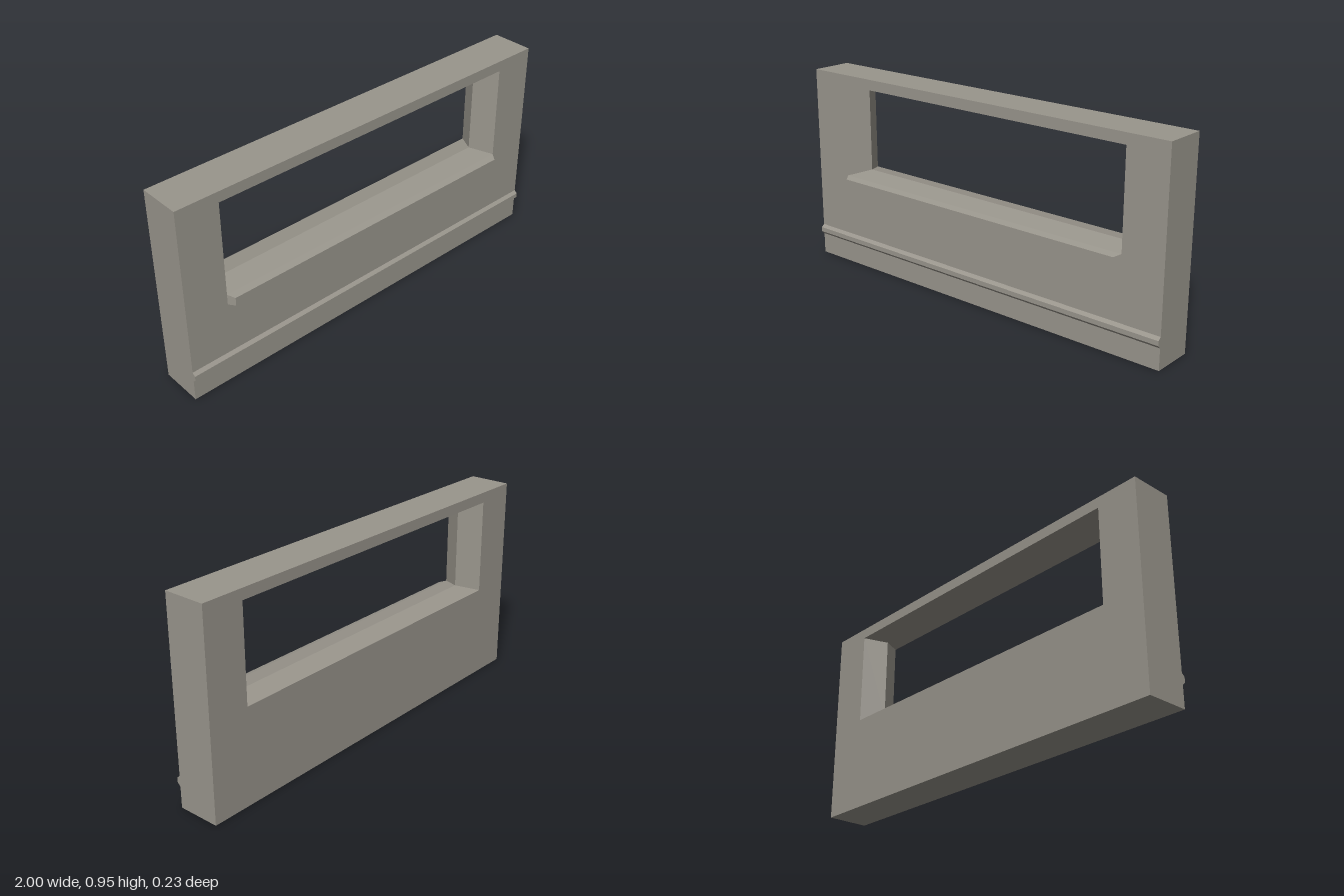
import * as THREE from 'three';

const BACK = -0.115, FRONT = 0.085, MIDDLE = -0.015;

// Rectangular ring, counter-clockwise seen from the front
const ring = (halfWidth, y0, y1, z) => [
  [-halfWidth, y0, z], [halfWidth, y0, z], [halfWidth, y1, z], [-halfWidth, y1, z],
];

// Skin a closed series of rings with flat faces
function skinClosed(rings) {
  const pos = [];
  rings.forEach((r, k) => {
    const next = rings[(k + 1) % rings.length];
    for (let i = 0; i < 4; i++) {
      const j = (i + 1) % 4;
      pos.push(...r[i], ...r[j], ...next[j], ...r[i], ...next[j], ...next[i]);
    }
  });
  const geo = new THREE.BufferGeometry();
  geo.setAttribute('position', new THREE.Float32BufferAttribute(pos, 3));
  geo.computeVertexNormals();
  return geo;
}

// Ledge on the wall front: a box whose front face is a different rectangle
function ledge(wall, front, depth) {
  const geo = new THREE.BoxGeometry(2, 1, 1).toNonIndexed();
  const p = geo.attributes.position;
  for (let i = 0; i < p.count; i++) {
    const isFront = p.getZ(i) > 0;
    const [halfWidth, y0, y1] = isFront ? front : wall;
    p.setXYZ(i, p.getX(i) * halfWidth, p.getY(i) > 0 ? y1 : y0, FRONT + (isFront ? depth : 0));
  }
  geo.computeVertexNormals();
  return geo;
}

export function createModel() {
  const group = new THREE.Group();
  const stone = new THREE.MeshStandardMaterial({ color: 0x99958c });
  stone.name = 'warm grey stone';
  const add = (name, geo) => {
    const mesh = new THREE.Mesh(geo, stone);
    mesh.name = name;
    group.add(mesh);
  };

  // Wall slab; the opening flares from a mid-depth ridge to both faces
  add('wall', skinClosed([
    ring(1, 0, 0.95, BACK),
    ring(1, 0, 0.95, FRONT),
    ring(0.8, 0.45, 0.9, FRONT),
    ring(0.735, 0.47, 0.884, MIDDLE),
    ring(0.8, 0.45, 0.9, BACK),
  ]));

  // Sloped sill under the opening, with tapered ends
  add('windowSill', ledge([0.8, 0.4, 0.45], [0.78, 0.4, 0.44], 0.03));

  // Bevelled moulding along the base
  add('baseMoulding', ledge([1, 0.1, 0.15], [1, 0.115, 0.137], 0.015));

  return group;
}
